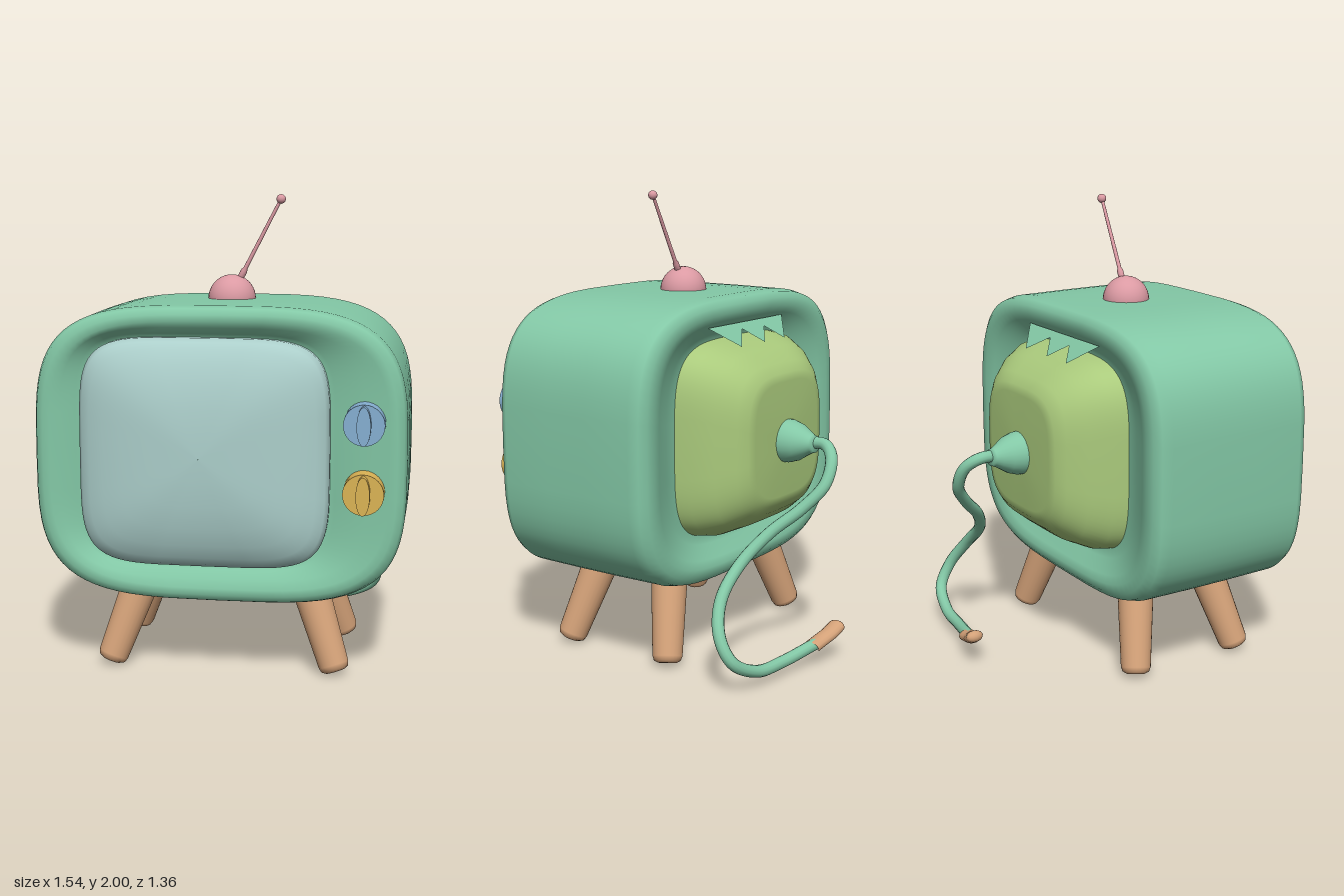
import * as THREE from 'three';

const mat = (name, color, extra = {}) => {
  const m = new THREE.MeshStandardMaterial({ color, ...extra });
  m.name = name;
  return m;
};

// Rounded-square loft along z; each ring is [z, cx, cy, rx, ry, power], back to front
function loft(rings, seg = 72) {
  const pos = [], index = [];
  const root = (v, n) => Math.sign(v) * Math.pow(Math.abs(v), 2 / n);
  for (const [z, cx, cy, rx, ry, n] of rings) {
    for (let j = 0; j < seg; j++) {
      const a = (j / seg) * Math.PI * 2;
      pos.push(cx + rx * root(Math.cos(a), n), cy + ry * root(Math.sin(a), n), z);
    }
  }
  for (let i = 0; i < rings.length - 1; i++) {
    for (let j = 0; j < seg; j++) {
      const k = (j + 1) % seg;
      const a = i * seg + j, b = i * seg + k, c = b + seg, d = a + seg;
      index.push(a, b, c, a, c, d);
    }
  }
  const g = new THREE.BufferGeometry();
  g.setAttribute('position', new THREE.Float32BufferAttribute(pos, 3));
  g.setIndex(index);
  g.computeVertexNormals();
  return g;
}

const lathe = (pts, seg = 24) => new THREE.LatheGeometry(pts.map(p => new THREE.Vector2(...p)), seg);
const curve = pts => new THREE.CatmullRomCurve3(pts.map(p => new THREE.Vector3(...p)));

export function createModel() {
  const group = new THREE.Group();
  const green = mat('casing green', 0x83c8a6);
  const greenThin = green;
  greenThin.side = THREE.DoubleSide;
  const lime = mat('back lime', 0xaaca7c);
  const glass = mat('screen glass', 0xaccfcb);
  const pink = mat('aerial pink', 0xdb9aa3);
  const blue = mat('knob blue', 0x86b0d2);
  const yellow = mat('knob yellow', 0xdcb455);
  const wood = mat('wood tan', 0xd3a178);

  const add = (name, geo, material, parent = group) => {
    const m = new THREE.Mesh(geo, material);
    m.name = name;
    parent.add(m);
    return m;
  };

  // Casing: soft rims with shallow dished front and back
  const P = 3.7, Y = 0.945;
  add('casing', loft([
    [-0.12, 0, Y, 0.001, 0.001, P],
    [-0.12, 0, Y, 0.44, 0.42, P],
    [-0.135, 0, Y, 0.53, 0.46, P],
    [-0.175, 0, Y, 0.63, 0.515, P],
    [-0.19, 0, Y, 0.68, 0.545, P],
    [-0.187, 0, Y, 0.725, 0.58, P],
    [-0.165, 0, Y, 0.757, 0.605, P],
    [-0.12, 0, Y, 0.77, 0.615, P],
    [0.1, 0, Y, 0.772, 0.617, P],
    [0.3, 0, Y, 0.772, 0.617, P],
    [0.53, 0, Y, 0.77, 0.615, P],
    [0.56, 0, Y, 0.758, 0.605, P],
    [0.575, 0, Y, 0.73, 0.58, P],
    [0.575, 0, Y, 0.7, 0.553, P],
    [0.56, -0.025, 0.95, 0.635, 0.522, 4.2],
    [0.535, -0.06, 0.955, 0.54, 0.49, 5],
    [0.5, -0.06, 0.955, 0.5, 0.455, 5],
    [0.5, -0.06, 0.955, 0.001, 0.001, 5],
  ]), green);

  // Bulging screen
  add('screen', loft([
    [0.49, 1], [0.55, 1], [0.575, 0.97], [0.6, 0.9], [0.625, 0.78],
    [0.647, 0.62], [0.662, 0.42], [0.669, 0.2], [0.671, 0.002],
  ].map(([z, s]) => [z, -0.06, 0.955, 0.518 * s, 0.475 * s, 5])), glass);

  // Picture tube housing on the back
  add('tubeHousing', loft([
    [-0.396, 0.001, 0.001, 3.5], [-0.392, 0.25, 0.25, 3.5], [-0.383, 0.29, 0.285, 3.5],
    [-0.35, 0.33, 0.325, 3.8], [-0.28, 0.39, 0.38, 4], [-0.19, 0.44, 0.42, 4.2], [-0.05, 0.47, 0.44, 4.2],
  ].map(([z, rx, ry, n]) => [z, 0, 0.95, rx, ry, n])), lime);

  // Jagged lip above the housing
  const lip = new THREE.BufferGeometry();
  lip.setAttribute('position', new THREE.Float32BufferAttribute([
    [-0.3, -0.18, -0.07], [-0.15, -0.02, 0.09], [0.02, 0.16, 0.28],
  ].flatMap(([a, b, c]) => [a, 1.44, -0.17, b, 1.355, -0.262, c, 1.44, -0.17]), 3));
  lip.computeVertexNormals();
  add('housingLip', lip, greenThin);

  // Knobs with a lens-shaped grip
  for (const [name, y, m] of [['upperKnob', 1.105, blue], ['lowerKnob', 0.825, yellow]]) {
    const knob = new THREE.Group();
    knob.name = name;
    knob.position.set(0.6, y, 0.5);
    add('dial', new THREE.CylinderGeometry(0.083, 0.083, 0.145, 32).rotateX(Math.PI / 2).translate(0, 0, 0.0725), m, knob);
    add('grip', new THREE.CylinderGeometry(0.078, 0.082, 0.17, 32).rotateX(Math.PI / 2).scale(0.36, 1, 1).translate(0, 0, 0.093), m, knob);
    group.add(knob);
  }

  // Splayed legs
  const legGeo = lathe([[0, 0], [0.04, 0], [0.058, 0.01], [0.065, 0.03], [0.08, 0.38], [0.082, 0.46], [0, 0.46]]);
  const up = new THREE.Vector3(0, 1, 0);
  for (const s of [1, -1]) {
    for (const [name, z, dz] of [['frontLeg', 0.44, -0.085], ['backLeg', -0.1, 0.075]]) {
      const leg = add((s > 0 ? 'left ' : 'right ') + name, legGeo, wood);
      leg.position.set(0.485 * s, 0.015, z);
      leg.quaternion.setFromUnitVectors(up, new THREE.Vector3(-0.12 * s, 0.34, dz).normalize());
    }
  }

  // Aerial: dome, thin rod and ball
  add('aerialDome', new THREE.SphereGeometry(0.102, 32, 20), pink).position.set(0, 1.56, 0.158);
  const from = new THREE.Vector3(0.03, 1.635, 0.16), to = new THREE.Vector3(0.21, 1.98, 0.165);
  const dir = to.clone().sub(from), len = dir.length();
  const rod = add('aerialRod', lathe([[0, 0], [0.014, 0], [0.014, 0.05], [0.009, 0.06], [0.007, len]], 12), pink);
  rod.position.copy(from);
  rod.quaternion.setFromUnitVectors(up, dir.normalize());
  add('aerialTip', new THREE.SphereGeometry(0.02, 16, 12), pink).position.copy(to);

  // Cable with bell-shaped collar
  add('cableCollar', lathe([[0.095, 0], [0.093, 0.03], [0.08, 0.07], [0.055, 0.11], [0.04, 0.135], [0.036, 0.15], [0, 0.15]])
    .rotateX(-Math.PI / 2).translate(0, 0.94, -0.385), green);
  add('cable', new THREE.TubeGeometry(curve([
    [0, 0.945, -0.5], [0, 0.945, -0.58], [0.04, 0.9, -0.635], [0.1, 0.8, -0.64], [0.17, 0.7, -0.57],
    [0.26, 0.6, -0.47], [0.38, 0.48, -0.4], [0.52, 0.36, -0.4], [0.6, 0.24, -0.45], [0.59, 0.14, -0.505],
    [0.46, 0.07, -0.54], [0.3, 0.062, -0.56], [0.1, 0.09, -0.605],
  ]), 120, 0.026, 12), green);

  // Flattened cable tip
  const tip = new THREE.Group();
  tip.name = 'cableTip';
  tip.position.z = -0.63;
  tip.scale.z = 1.5;
  add('tipSleeve', new THREE.TubeGeometry(curve([[0.13, 0.083, 0.018], [0.07, 0.098, 0.012], [0.02, 0.12, 0], [-0.018, 0.142, -0.007]]), 20, 0.026, 14), wood, tip);
  add('tipEnd', new THREE.SphereGeometry(0.026, 14, 10), wood, tip).position.set(-0.018, 0.142, -0.007);
  group.add(tip);

  return group;
}
